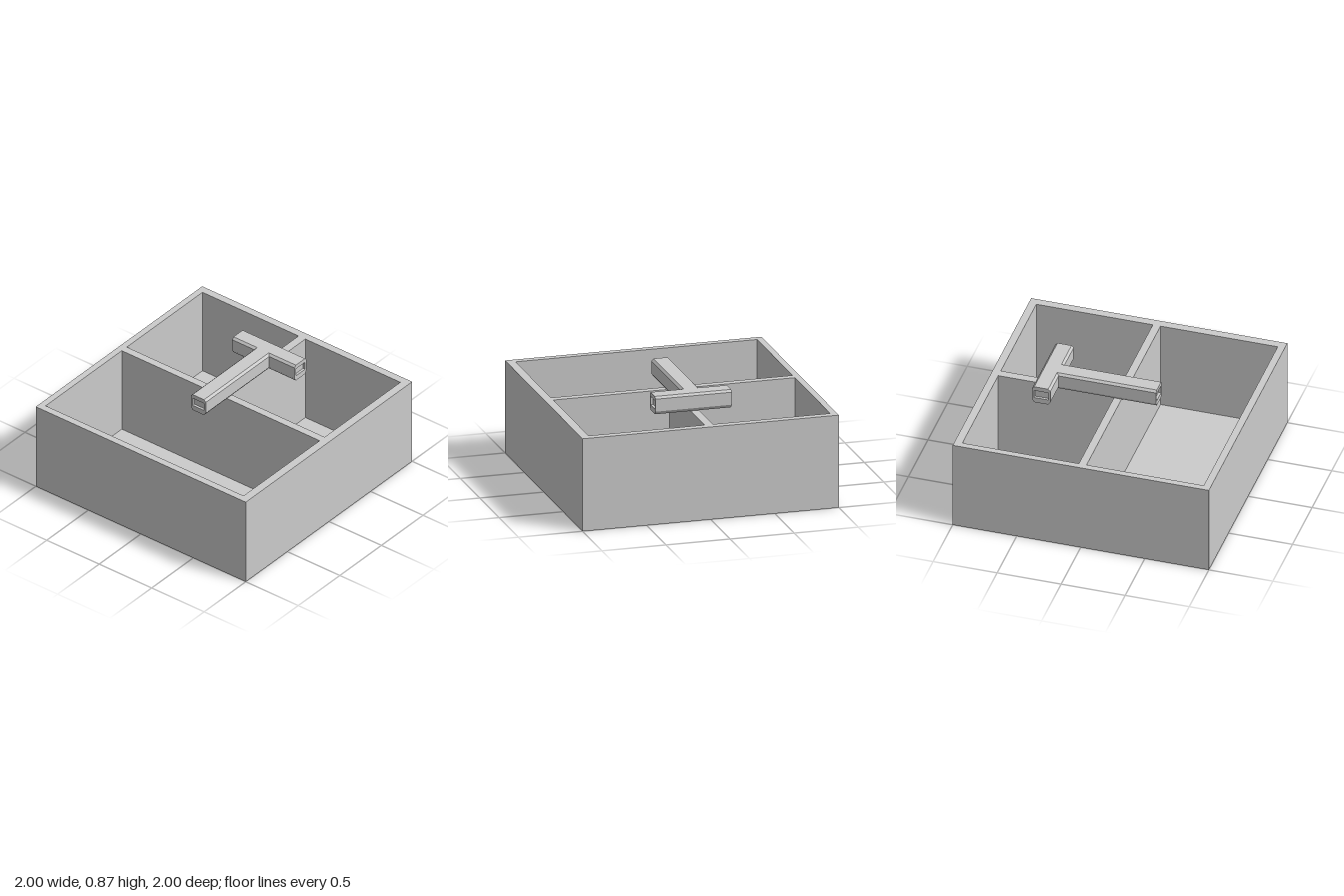
import * as THREE from 'three';

const material = new THREE.MeshStandardMaterial({ color: 0xcccccc, flatShading: true });
const WALL_TOP = 0.725, FLOOR = 0.01;

function mesh(name, geometry) {
  const m = new THREE.Mesh(geometry, material);
  m.name = name;
  return m;
}

function rect(Type, x0, y0, x1, y1) {
  const s = new Type();
  s.moveTo(x0, y0).lineTo(x1, y0).lineTo(x1, y1).lineTo(x0, y1).closePath();
  return s;
}

// Octagonal bar section: chamfered corners, standing on y = 0
function barSection(hollow) {
  const w = 0.0715, h = 0.14, top = 0.017, bottom = 0.025;
  const s = new THREE.Shape();
  s.moveTo(-w + top, 0).lineTo(w - top, 0).lineTo(w, bottom).lineTo(w, h - top);
  s.lineTo(w - top, h).lineTo(-w + top, h).lineTo(-w, h - top).lineTo(-w, bottom).closePath();
  if (hollow) s.holes.push(rect(THREE.Path, -0.056, 0.042, 0.056, 0.106));
  return s;
}

// Piece of bar along z from z0 to z1
function barPiece(name, z0, z1, hollow) {
  const g = new THREE.ExtrudeGeometry(barSection(hollow), { depth: z1 - z0, bevelEnabled: false });
  return mesh(name, g.translate(0, 0, z0));
}

// Bar along z with shallow rectangular sockets in its open ends
function bar(name, z0, z1, socketStart, socketEnd) {
  const d = 0.02, group = new THREE.Group();
  group.name = name;
  group.add(barPiece(name + 'Core', z0 + (socketStart ? d : 0), z1 - (socketEnd ? d : 0), false));
  if (socketStart) group.add(barPiece(name + 'StartSocket', z0, z0 + d, true));
  if (socketEnd) group.add(barPiece(name + 'EndSocket', z1 - d, z1, true));
  return group;
}

export function createModel() {
  const model = new THREE.Group();
  model.name = 'compartmentTray';

  // Outer walls and dividers: one wide bay on the left, two on the right
  const plan = rect(THREE.Shape, -1, -1, 1, 1);
  const bays = [
    [-0.945, -0.95, -0.03, 0.935],
    [0.03, -0.95, 0.94, -0.035],
    [0.03, 0.03, 0.94, 0.935],
  ];
  for (const [x0, z0, x1, z1] of bays) plan.holes.push(rect(THREE.Path, x0, -z1, x1, -z0));
  const walls = new THREE.ExtrudeGeometry(plan, { depth: WALL_TOP - FLOOR, bevelEnabled: false });
  model.add(mesh('wallsAndDividers', walls.rotateX(-Math.PI / 2).translate(0, FLOOR, 0)));

  // Thin floor
  model.add(mesh('floor', new THREE.BoxGeometry(2, FLOOR, 2).translate(0, FLOOR / 2, 0)));

  // T-shaped handle lying across the dividers
  const handle = new THREE.Group();
  handle.name = 'handle';
  handle.position.y = WALL_TOP;
  const head = bar('handleHead', -0.285, 0.31, true, true);
  head.position.x = 0.528;
  const stem = bar('handleStem', -0.305, 0.478, true, false);
  stem.rotation.y = Math.PI / 2;
  stem.position.z = -0.003;
  handle.add(head, stem);
  model.add(handle);

  return model;
}
